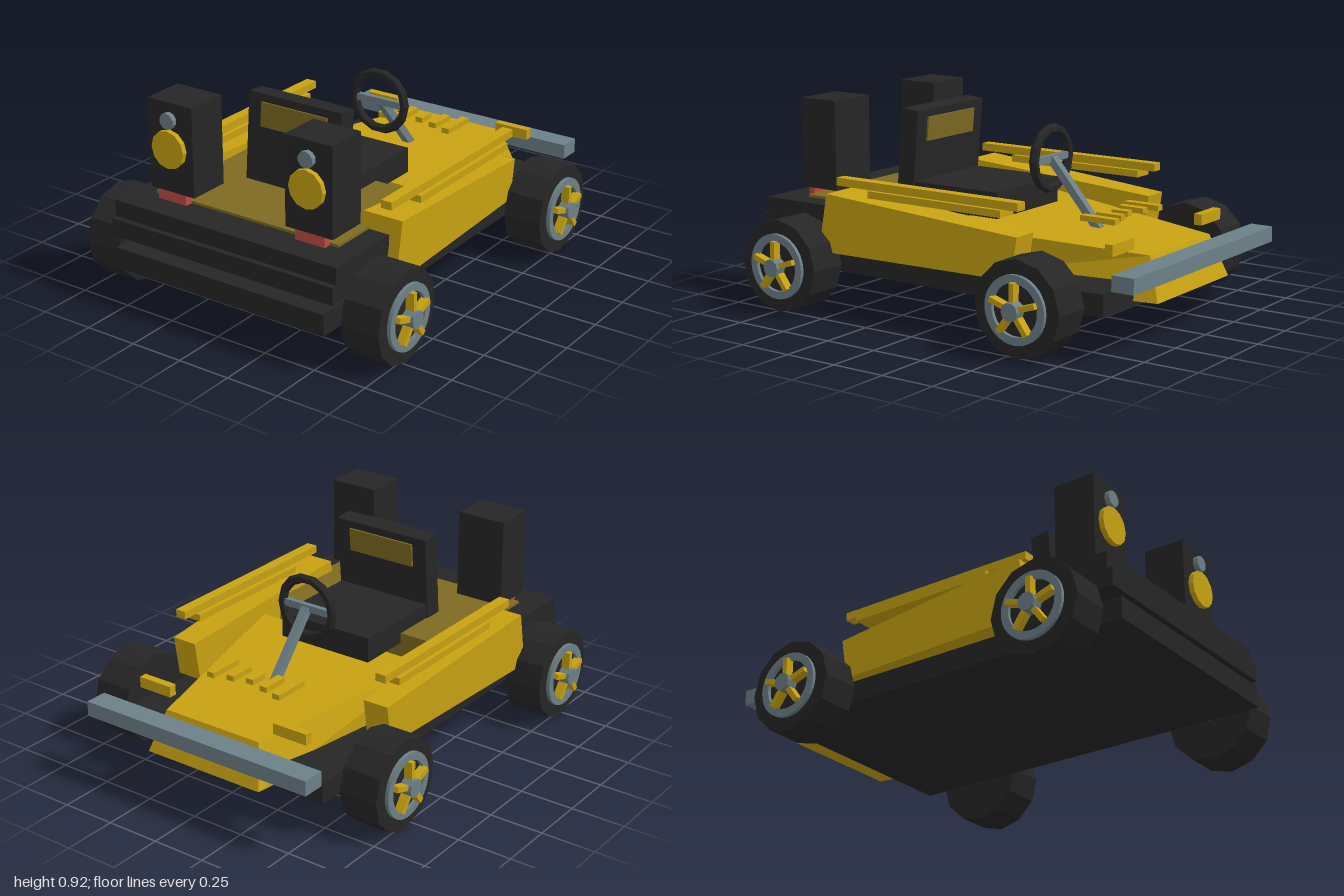
import * as THREE from 'three';

const mat = (name, color) => {
  const m = new THREE.MeshStandardMaterial({ color });
  m.name = name;
  m.flatShading = true;
  return m;
};

export function createModel() {
  const yellow = mat('yellow paint', 0xc8a212);
  const olive = mat('olive trim', 0x7d6a22);
  const black = mat('black', 0x262626);
  const grey = mat('steel grey', 0x6d8088);
  const red = mat('red', 0xbe4a45);

  const model = new THREE.Group();
  model.name = 'goKart';

  const add = (name, geometry, material, x = 0, y = 0, z = 0, parent = model) => {
    const mesh = new THREE.Mesh(geometry, material);
    mesh.name = name;
    mesh.position.set(x, y, z);
    parent.add(mesh);
    return mesh;
  };
  // Box given by its limits on each axis
  const box = (name, material, [x0, x1], [y0, y1], [z0, z1], parent) =>
    add(name, new THREE.BoxGeometry(x1 - x0, y1 - y0, z1 - z0), material,
      (x0 + x1) / 2, (y0 + y1) / 2, (z0 + z1) / 2, parent);
  // Box whose corners are moved by a rule of their signs
  const wedge = (name, material, rule) => {
    const g = new THREE.BoxGeometry(2, 2, 2).toNonIndexed();
    const p = g.attributes.position;
    for (let i = 0; i < p.count; i++) p.setXYZ(i, ...rule(p.getX(i), p.getY(i), p.getZ(i)));
    g.computeVertexNormals();
    return add(name, g, material);
  };

  // Chassis, rear deck and bumpers
  box('chassis', black, [-0.547, 0.547], [0.167, 0.265], [-0.83, 1]);
  box('deck', olive, [-0.48, 0.48], [0.28, 0.478], [0.175, 0.8]);
  box('upperBumper', black, [-0.58, 0.58], [0.388, 0.466], [0.58, 0.957]);
  box('lowerBumper', black, [-0.58, 0.58], [0.307, 0.388], [0.58, 0.982]);

  // Tapered hood
  wedge('hood', yellow, (x, y, z) => {
    const up = y > 0;
    if (z > 0) return up ? [x * 0.455, 0.43, 0.06] : [x * 0.46, 0.19, 0.115];
    return up ? [x * 0.25, 0.376, -0.87] : [x * 0.3, 0.19, -0.94];
  });
  [[0, 0.04], [0.09, 0.063], [0.178, 0.088]].forEach(([x, half]) => {
    for (const s of x ? [-1, 1] : [1]) {
      box('hoodVent', yellow, [s * x - 0.019, s * x + 0.019], [0.467, 0.492], [-0.575 - half, -0.575 + half]);
    }
  });
  box('noseBar', grey, [-0.59, 0.59], [0.296, 0.365], [-1, -0.895]);

  // Seat with leaning back
  box('seatBase', black, [-0.238, 0.238], [0.43, 0.547], [-0.08, 0.4]);
  const back = new THREE.Group();
  back.name = 'seatBack';
  back.position.set(0, 0.675, 0.412);
  back.rotation.x = -0.087;
  model.add(back);
  box('backrest', black, [-0.244, 0.244], [-0.2, 0.2], [-0.045, 0.045], back);
  box('headrestPanel', olive, [-0.172, 0.172], [0.055, 0.165], [-0.054, 0.054], back);

  // Steering wheel and column
  add('steeringWheel', new THREE.TorusGeometry(0.135, 0.022, 6, 14), black, 0, 0.68, -0.205);
  box('steeringSpoke', grey, [-0.13, 0.13], [0.664, 0.696], [-0.217, -0.193]);
  const column = add('steeringColumn', new THREE.BoxGeometry(0.036, 0.38, 0.036), grey, 0, 0.535, -0.335);
  column.rotation.x = Math.atan2(0.25, 0.29);

  const speakerX = 0.36;
  for (const s of [-1, 1]) {
    const span = (a, b) => (s > 0 ? [a, b] : [-b, -a]);

    // Side pod with rails on top
    wedge('sidePod', yellow, (x, y, z) => {
      const up = y > 0;
      const [inner, outer] = z > 0 ? [0.44, 0.633] : [0.465, 0.587];
      const px = s * (inner + outer) / 2 + x * (outer - inner) / 2;
      if (z > 0) return [px, up ? 0.533 : 0.268, up ? 0.562 : 0.61];
      return [px, up ? 0.457 : 0.268, up ? -0.43 : -0.4];
    });
    box('lowerRail', yellow, span(0.497, 0.592), [0.53, 0.562], [-0.35, 0.36]);
    box('upperRail', yellow, span(0.52, 0.572), [0.562, 0.598], [-0.425, 0.553]);
    box('noseFin', yellow, span(0.28, 0.45), [0.4, 0.45], [-0.812, -0.775]);

    // Speaker tower and light
    box('speakerCabinet', black, span(0.24, 0.477), [0.512, 0.92], [0.637, 0.835]);
    add('speakerCone', new THREE.CylinderGeometry(0.086, 0.086, 0.025, 12).rotateX(Math.PI / 2),
      yellow, s * speakerX, 0.713, 0.8465);
    add('speakerTweeter', new THREE.CylinderGeometry(0.037, 0.037, 0.025, 10).rotateX(Math.PI / 2),
      grey, s * speakerX, 0.842, 0.8465);
    box('light', red, span(0.287, 0.437), [0.465, 0.513], [0.8, 0.835]);

    // Wheels, each built along +x and turned around for the other side
    for (const z of [0.73, -0.558]) {
      const wheel = new THREE.Group();
      wheel.name = 'wheel';
      wheel.position.set(0, 0.21, z);
      wheel.rotation.y = s > 0 ? 0 : Math.PI;
      model.add(wheel);
      const disc = (name, r, x0, x1, sides, material) =>
        add(name, new THREE.CylinderGeometry(r, r, x1 - x0, sides).rotateZ(Math.PI / 2),
          material, (x0 + x1) / 2, 0, 0, wheel);
      disc('axle', 0.026, 0.5, 0.6, 8, grey);
      disc('tyre', 0.21, 0.588, 0.77, 12, black);
      disc('hub', 0.04, 0.765, 0.824, 10, grey);

      const rim = new THREE.Shape().absarc(0, 0, 0.147, 0, Math.PI * 2);
      rim.holes.push(new THREE.Path().absarc(0, 0, 0.112, 0, Math.PI * 2, true));
      const rimGeometry = new THREE.ExtrudeGeometry(rim, { depth: 0.022, bevelEnabled: false, curveSegments: 18 });
      add('rim', rimGeometry.rotateY(Math.PI / 2), grey, 0.765, 0, 0, wheel);

      for (let i = 0; i < 5; i++) {
        const spoke = new THREE.BoxGeometry(0.04, 0.09, 0.024).translate(0, 0.072, 0);
        add('spoke', spoke, yellow, 0.789, 0, 0, wheel).rotation.x = (i * Math.PI * 2) / 5;
      }
    }
  }
  return model;
}
